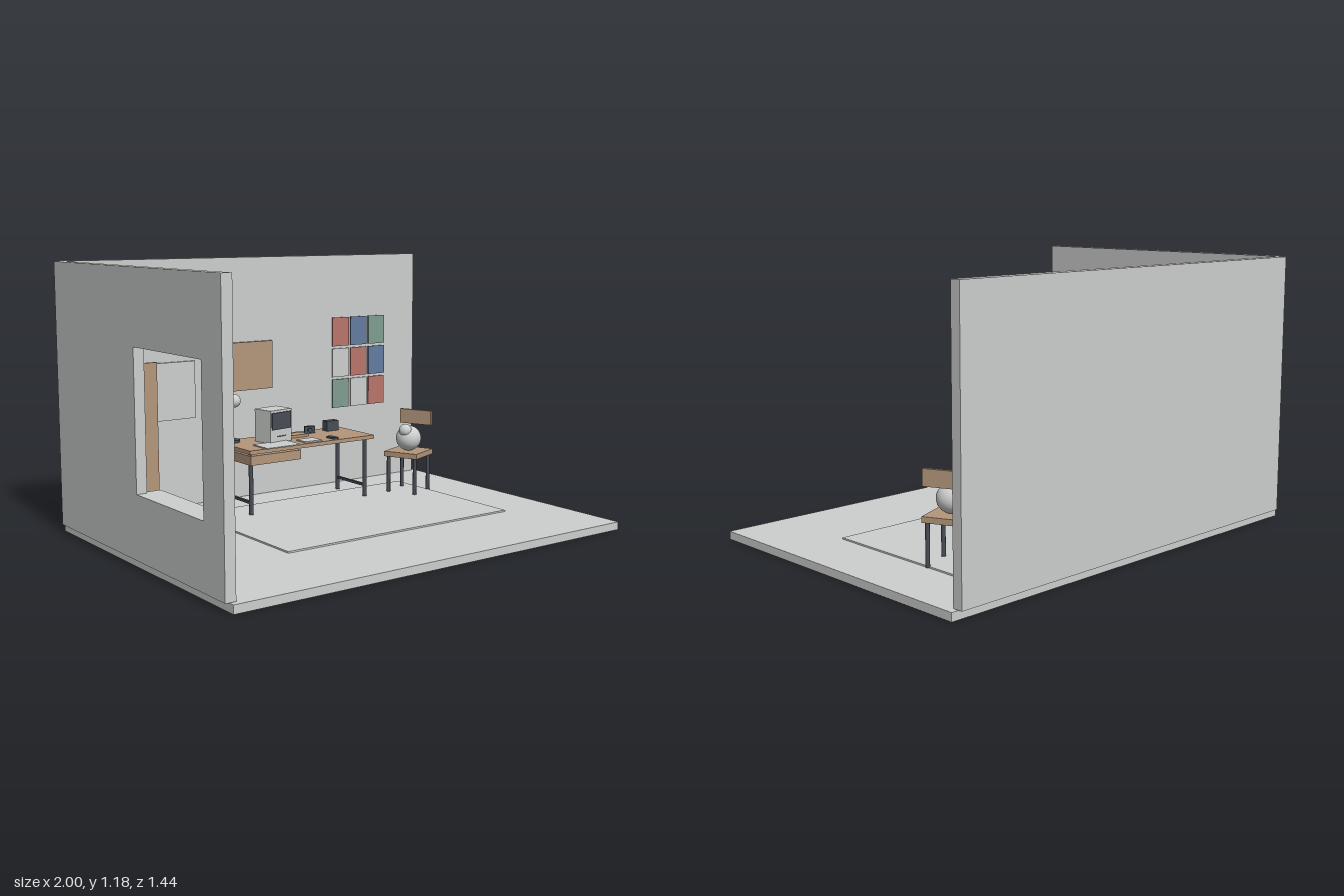
import * as THREE from 'three';

const mat = (name, color) => {
  const m = new THREE.MeshStandardMaterial({ color });
  m.name = name;
  return m;
};

export function createModel() {
  const plaster = mat('pale grey', 0xcccfcd);
  const wood = mat('wood', 0xb3967b);
  const dark = mat('dark grey', 0x484e56);
  const red = mat('red', 0xb8756b);
  const blue = mat('blue', 0x637ca0);
  const green = mat('green', 0x809e90);

  const room = new THREE.Group();
  room.name = 'studyRoom';

  const add = (parent, name, geometry, material, x = 0, y = 0, z = 0) => {
    const mesh = new THREE.Mesh(geometry, material);
    mesh.name = name;
    mesh.position.set(x, y, z);
    parent.add(mesh);
    return mesh;
  };
  // Box given by its extents along x, y and z
  const box = (parent, name, material, x0, x1, y0, y1, z0, z1) =>
    add(parent, name, new THREE.BoxGeometry(x1 - x0, y1 - y0, z1 - z0), material,
      (x0 + x1) / 2, (y0 + y1) / 2, (z0 + z1) / 2);
  const rod = (parent, name, material, r, y0, y1, x, z, sides = 12) =>
    add(parent, name, new THREE.CylinderGeometry(r, r, y1 - y0, sides), material, x, (y0 + y1) / 2, z);
  const ball = (parent, name, material, r, x, y, z) =>
    add(parent, name, new THREE.SphereGeometry(r, 32, 20), material, x, y, z);
  const group = (name, x = 0, y = 0, z = 0, turn = 0) => {
    const g = new THREE.Group();
    g.name = name;
    g.position.set(x, y, z);
    g.rotation.y = turn;
    room.add(g);
    return g;
  };

  // Floor, rug and back wall
  box(room, 'floor', plaster, -0.98, 1.0, 0, 0.035, -0.7, 0.72);
  box(room, 'rug', plaster, -0.46, 0.73, 0.035, 0.042, -0.49, 0.285);
  box(room, 'backWall', plaster, -0.955, 0.972, 0.037, 1.18, -0.722, -0.677);

  // Side wall with window opening and sill
  const outline = new THREE.Shape();
  outline.moveTo(-0.677, 0.037).lineTo(0.698, 0.037).lineTo(0.698, 1.18).lineTo(-0.677, 1.18).closePath();
  const opening = new THREE.Path();
  opening.moveTo(0.042, 0.303).lineTo(0.042, 0.876).lineTo(0.556, 0.876).lineTo(0.556, 0.303).closePath();
  outline.holes.push(opening);
  const wall = add(room, 'windowWall',
    new THREE.ExtrudeGeometry(outline, { depth: 0.045, bevelEnabled: false }), plaster, -0.955, 0, 0);
  wall.rotation.y = -Math.PI / 2;
  box(room, 'windowSill', plaster, -0.956, -0.885, 0.283, 0.303, 0.02, 0.573);

  // Bookcase: back, two sides, shelves and rows of books
  const bookcase = group('bookcase');
  box(bookcase, 'bookcaseBack', wood, -0.95, -0.94, 0.037, 0.793, -0.598, -0.096);
  for (const z of [-0.598, -0.107])
    box(bookcase, 'bookcaseSide', wood, -0.95, -0.828, 0.037, 0.793, z, z + 0.011);
  for (const y of [0.037, 0.21, 0.383, 0.555, 0.727])
    box(bookcase, 'shelf', wood, -0.94, -0.828, y, y + 0.012, -0.587, -0.107);
  const bookColours = { w: plaster, b: blue, r: red, g: green, t: wood };
  ['wbgrwwbrgrwg', 'gwrbtgwrbwgb', 'bwrbwgrbtwbr', 'wwbrgtbgwtbw'].forEach((row, level) => {
    const y = 0.056 + level * 0.1715;
    [...row].forEach((c, i) => {
      const z = -0.129 - i * 0.0388;
      box(bookcase, 'book', bookColours[c], -0.938, -0.85, y, y + 0.103, z - 0.013, z + 0.013);
    });
  });

  // Things hung on the back wall
  box(room, 'whiteboard', plaster, -0.715, -0.335, 0.447, 0.712, -0.677, -0.664);
  box(room, 'corkboard', wood, -0.233, 0.085, 0.553, 0.782, -0.672, -0.656);
  [[red, blue, green], [plaster, red, blue], [green, plaster, red]].forEach((row, j) =>
    row.forEach((m, i) => {
      const x = 0.44 + i * 0.112, y = 0.731 - j * 0.1545;
      box(room, 'poster', m, x, x + 0.1, y, y + 0.142, -0.661, -0.654);
    }));

  // Desk
  const desk = group('desk');
  box(desk, 'deskTop', wood, -0.277, 0.417, 0.323, 0.341, -0.578, -0.287);
  box(desk, 'drawer', wood, -0.27, 0, 0.272, 0.315, -0.572, -0.293);
  for (const x of [-0.25, 0.39]) {
    for (const z of [-0.543, -0.325]) rod(desk, 'deskLeg', dark, 0.01, 0.037, 0.323, x, z);
    box(desk, 'deskStretcher', dark, x - 0.006, x + 0.006, 0.09, 0.102, -0.543, -0.325);
  }

  // Desk lamp
  const lamp = group('lamp', -0.225, 0.341, -0.525);
  rod(lamp, 'lampBase', dark, 0.036, 0, 0.012, 0, 0, 24);
  rod(lamp, 'lampStem', dark, 0.005, 0.012, 0.185, 0, 0);
  ball(lamp, 'lampShade', plaster, 0.031, 0.003, 0.193, 0.015);

  // Computer, turned slightly
  const computer = group('computer', -0.053, 0.341, -0.442, 0.166);
  box(computer, 'computerCase', plaster, -0.066, 0.066, 0, 0.151, -0.053, 0.053);
  box(computer, 'screen', dark, -0.058, 0.058, 0.062, 0.14, 0.053, 0.059);
  box(computer, 'diskSlot', dark, -0.022, 0.028, 0.026, 0.031, 0.053, 0.056);

  // Small desk items
  rod(room, 'mug', plaster, 0.016, 0.341, 0.385, -0.06, -0.517, 20);
  box(room, 'drawingSheet', plaster, -0.195, -0.013, 0.341, 0.346, -0.395, -0.272);
  box(room, 'notebook', wood, 0.038, 0.145, 0.341, 0.353, -0.505, -0.443);
  box(room, 'notepad', plaster, 0.032, 0.125, 0.341, 0.347, -0.378, -0.303);
  box(room, 'pocketDevice', dark, 0.19, 0.22, 0.341, 0.349, -0.36, -0.303);
  const gadget = group('camera', 0.2, 0.341, -0.513, -0.45);
  box(gadget, 'cameraBody', dark, -0.025, 0.025, 0, 0.033, -0.012, 0.012);
  const lens = rod(gadget, 'cameraLens', dark, 0.011, -0.009, 0.009, 0, 0.018, 16);
  lens.position.y = 0.016;
  lens.rotation.x = Math.PI / 2;
  box(room, 'penBox', dark, 0.292, 0.36, 0.341, 0.39, -0.535, -0.495);

  // Chair, turned toward the desk
  const chair = group('chair', 0.638, 0, -0.298, 0.41);
  box(chair, 'seat', wood, -0.0875, 0.0875, 0.217, 0.242, -0.0875, 0.0875);
  box(chair, 'backrest', wood, 0.071, 0.087, 0.36, 0.43, -0.083, 0.083);
  for (const x of [-0.071, 0.071])
    for (const z of [-0.071, 0.071]) rod(chair, 'chairLeg', dark, 0.009, 0.037, 0.217, x, z);

  // Round sitting figure on the seat
  ball(room, 'figureBody', plaster, 0.061, 0.636, 0.302, -0.295);
  ball(room, 'figureHead', plaster, 0.031, 0.605, 0.344, -0.283);

  return room;
}
